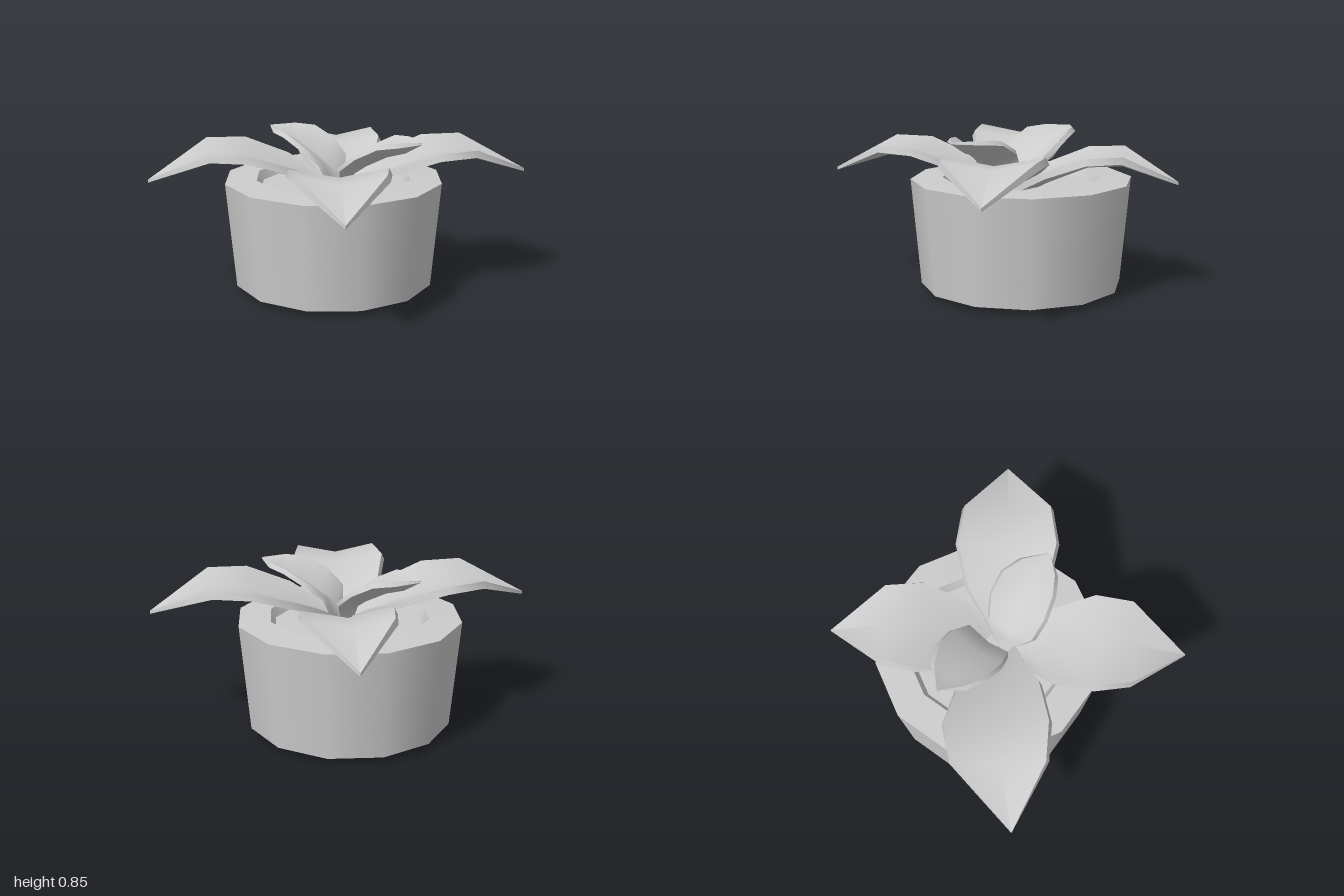
import * as THREE from 'three';
import { mergeGeometries } from 'three/addons/utils/BufferGeometryUtils.js';

// Smooth surface through rows of points; seams between grids stay sharp
function grid(rows) {
  const n = rows[0].length, index = [];
  for (let i = 0; i < rows.length - 1; i++) {
    for (let j = 0; j < n - 1; j++) {
      const a = i * n + j, b = a + n;
      index.push(a, b, a + 1, b, b + 1, a + 1);
    }
  }
  const g = new THREE.BufferGeometry().setFromPoints(rows.flat());
  g.setIndex(index);
  g.computeVertexNormals();
  return g;
}

// Stations along a leaf: [distance 0..1, half width, edge height, midrib height]
const LARGE = [
  [0, 0.04, 0.56, 0.53], [0.12, 0.11, 0.64, 0.6], [0.25, 0.2, 0.71, 0.66],
  [0.48, 0.255, 0.79, 0.745], [0.69, 0.225, 0.8, 0.755], [1, 0, 0.645, 0.645],
];
const SMALL = [
  [0, 0.05, 0.56, 0.53], [0.05, 0.13, 0.7, 0.64], [0.27, 0.16, 0.78, 0.71],
  [0.54, 0.15, 0.84, 0.77], [0.77, 0.1, 0.85, 0.8], [1, 0, 0.845, 0.845],
];

// Thick, V-folded leaf from root to tip, both given as [x, z]
function leafGeometry(stations, root, tip, { lift = 0, bend = 0, width = 1, thick = 0.035 } = {}) {
  const dx = tip[0] - root[0], dz = tip[1] - root[1], len = Math.hypot(dx, dz);
  const u = new THREE.Vector3(dx / len, 0, dz / len);
  const v = new THREE.Vector3(-u.z, 0, u.x);
  const at = (s, side, y) => new THREE.Vector3(root[0], y, root[1]).addScaledVector(u, s).addScaledVector(v, side);
  const top = [], under = [], wallA = [], wallB = [];
  stations.forEach(([t, half, edgeY, midY], i) => {
    const p = stations[Math.max(i - 1, 0)], q = stations[Math.min(i + 1, stations.length - 1)];
    const ds = (q[0] - p[0]) * len, dy = q[3] - p[3], d = Math.hypot(ds, dy);
    const th = t === 1 ? thick * 0.5 : thick;
    const s = t * len, off = bend * 4 * t * (1 - t), w = half * width;
    const s2 = s + (t === 1 ? 0 : th * dy / d), drop = lift - th * ds / d;
    const w2 = w + (half > 0 ? 0.016 : 0);
    const L = at(s, off + w, edgeY + lift), M = at(s, off, midY + lift), R = at(s, off - w, edgeY + lift);
    const l = at(s2, off + w2, edgeY + drop), m = at(s2, off, midY + drop), r = at(s2, off - w2, edgeY + drop);
    top.push([L, M, R]);
    under.push([r, m, l]);
    wallA.push([l, L]);
    wallB.push([R, r]);
  });
  return mergeGeometries([top, under, wallA, wallB].map(grid));
}

// Twelve-sided turned body, one band per profile step so the rims stay crisp
function potGeometry(profile) {
  const bands = [];
  for (let i = 0; i < profile.length - 1; i++) {
    const pts = [profile[i], profile[i + 1]].map(([r, y]) => new THREE.Vector2(r, y));
    bands.push(new THREE.LatheGeometry(pts, 12, THREE.MathUtils.degToRad(10)));
  }
  return mergeGeometries(bands);
}

export function createModel() {
  const model = new THREE.Group();
  model.name = 'pottedPlant';
  const clay = new THREE.MeshStandardMaterial({ color: 0xcccccc });
  clay.name = 'lightGrey';
  const add = (name, geometry) => {
    const mesh = new THREE.Mesh(geometry, clay);
    mesh.name = name;
    model.add(mesh);
    return mesh;
  };

  // Pot with a chamfered foot, broad rim and sunken soil
  const center = [-0.025, 0, -0.095];
  add('pot', potGeometry([
    [0, 0], [0.42, 0], [0.45, 0.015], [0.54, 0.03], [0.59, 0.6], [0.42, 0.608], [0.395, 0.56],
  ])).position.set(...center);
  add('soil', potGeometry([[0.395, 0.56], [0, 0.56]])).position.set(...center);

  // Four large arching leaves
  add('leftLeaf', leafGeometry(LARGE, [0, 0], [1, -0.01]));
  add('rightLeaf', leafGeometry(LARGE, [0, 0], [-1, 0.04], { bend: 0.06 }));
  add('frontLeaf', leafGeometry(LARGE, [-0.03, 0], [-0.065, 0.92], { lift: -0.012, width: 0.96 }));
  add('backLeaf', leafGeometry(LARGE, [0.02, 0], [0.05, -0.92], { lift: -0.04, width: 0.9 }));

  // Two small upright leaves in the middle
  add('innerLeftLeaf', leafGeometry(SMALL, [0.01, 0.01], [0.4, 0.215], { bend: -0.02, width: 0.95, thick: 0.022 }));
  add('innerRightLeaf', leafGeometry(SMALL, [0, -0.08], [-0.35, -0.335], { width: 0.95, thick: 0.022 }));

  return model;
}
